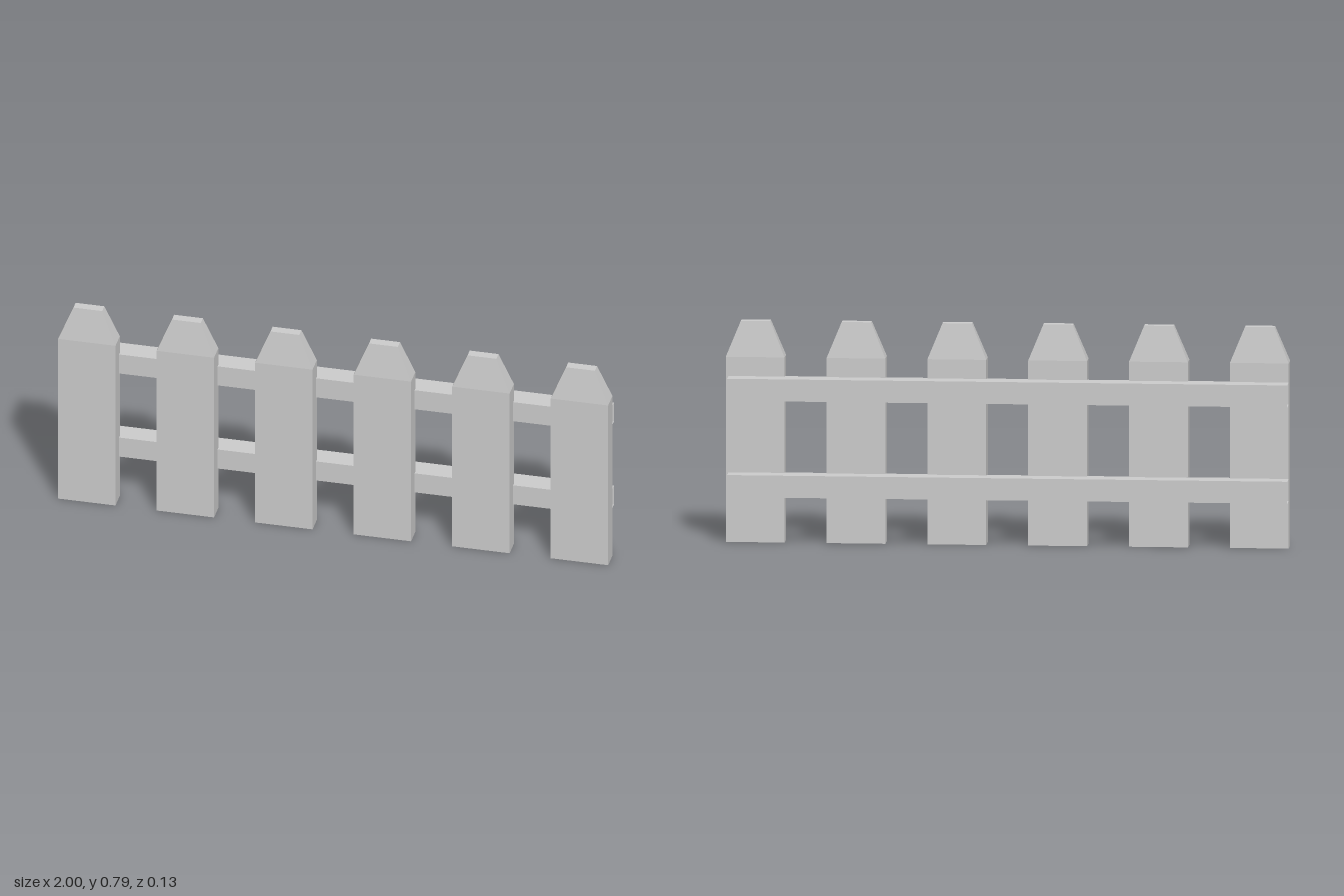
import * as THREE from 'three';

const material = new THREE.MeshStandardMaterial({
  color: 0xcccccc, flatShading: true, side: THREE.DoubleSide,
});

// Box sides in order: 0 +x, 1 -x, 2 +y, 3 -y, 4 +z, 5 -z
function openBox(geometry, openSides) {
  const index = Array.from(geometry.index.array);
  const kept = geometry.groups
    .filter((g) => !openSides.includes(g.materialIndex))
    .flatMap((g) => index.slice(g.start, g.start + g.count));
  geometry.setIndex(kept);
  geometry.clearGroups();
  return geometry;
}

// Board with a tapered, blunt tip and an open underside
function picketGeometry() {
  const width = 0.209, depth = 0.067, height = 0.79, shoulder = 0.663;
  const geometry = openBox(new THREE.BoxGeometry(width, 2, depth, 1, 2, 1), [3]);
  const p = geometry.attributes.position;
  for (let i = 0; i < p.count; i++) {
    const level = Math.round(p.getY(i)) + 1;
    p.setY(i, [0, shoulder, height][level]);
    if (level === 2) {
      p.setX(i, p.getX(i) * 0.5);
      p.setZ(i, p.getZ(i) * 0.5);
    }
  }
  geometry.computeVertexNormals();
  return geometry;
}

export function createModel() {
  const fence = new THREE.Group();
  fence.name = 'picketFence';

  // Six evenly spaced pickets
  const picket = picketGeometry();
  for (let i = 0; i < 6; i++) {
    const mesh = new THREE.Mesh(picket, material);
    mesh.name = `picket${i + 1}`;
    mesh.position.set((i - 2.5) * 0.3582, 0, 0.0335);
    fence.add(mesh);
  }

  // Two hollow rails with open ends, set slightly into the pickets' backs
  const rail = openBox(new THREE.BoxGeometry(1.99, 0.079, 0.079), [0, 1]);
  for (const [name, y] of [['lowerRail', 0.21], ['upperRail', 0.555]]) {
    const mesh = new THREE.Mesh(rail, material);
    mesh.name = name;
    mesh.position.set(-0.005, y, -0.0275);
    fence.add(mesh);
  }
  return fence;
}
